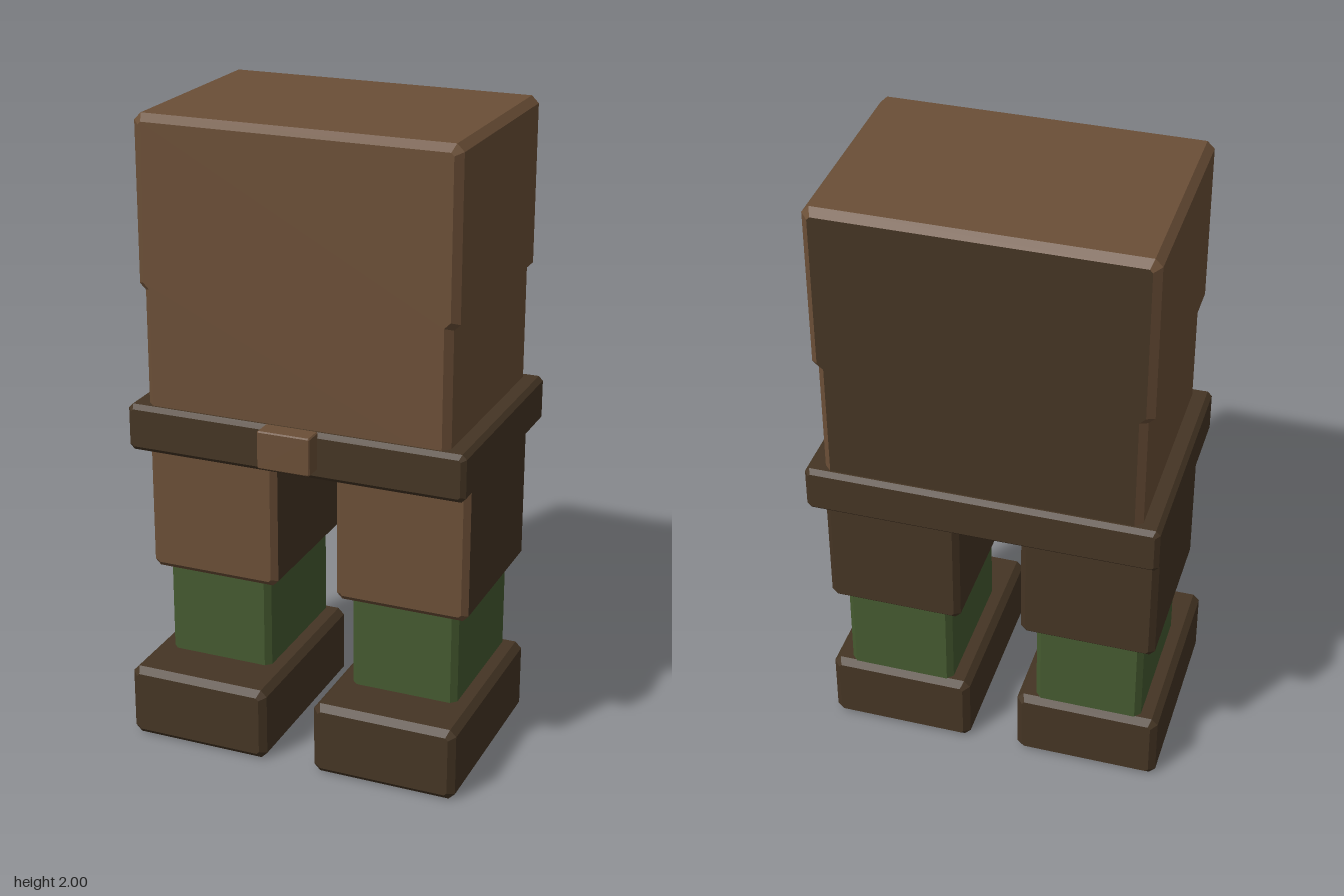
import * as THREE from 'three';

const flat = (name, color) => {
  const m = new THREE.MeshStandardMaterial({ color });
  m.name = name;
  return m;
};

export function createModel() {
  const brown = flat('brown leather', 0x6b4f37);
  const dark = flat('dark leather', 0x453524);
  const green = flat('green cloth', 0x455a30);
  const model = new THREE.Group();

  // Bevelled block from the right half of a symmetric outline, bottom to top.
  function block(half, z0, z1, b) {
    const left = half.map(([x, y]) => [-x, y]).reverse();
    const shape = new THREE.Shape([...half, ...left].map(([x, y]) => new THREE.Vector2(x, y)));
    const geo = new THREE.ExtrudeGeometry(shape, {
      depth: z1 - z0 - 2 * b, steps: 1, bevelEnabled: true, bevelSegments: 1,
      bevelThickness: b, bevelSize: b, bevelOffset: -b,
    });
    geo.translate(0, 0, z0 + b);
    geo.clearGroups();
    return geo;
  }

  // Box with all edges chamfered by b.
  const box = (w, y0, y1, z0, z1, b) => block(
    [[w - b, y0], [w, y0 + b], [w, y1 - b], [w - b, y1]], z0, z1, b);

  // Give each triangle material 0 or 1 by its normal.
  function paint(geo, isSecond) {
    const n = geo.attributes.normal;
    for (let i = 0; i < n.count; i += 3) geo.addGroup(i, 3, isSecond(n.getZ(i)) ? 1 : 0);
    return geo;
  }

  function add(name, geo, material, parent = model) {
    const mesh = new THREE.Mesh(geo, material);
    mesh.name = name;
    parent.add(mesh);
    return mesh;
  }

  // Torso: wider chest over a narrower waist, dark back panel
  const torso = block([
    [0.485, 1.05], [0.485, 1.467], [0.504, 1.486], [0.504, 1.978], [0.482, 2],
  ], -0.378, 0.32, 0.022);
  add('torso', paint(torso, (z) => z < -0.9), [brown, dark]);

  // Belt and buckle
  add('belt', box(0.542, 0.962, 1.11, -0.397, 0.34, 0.014), dark);
  add('beltBuckle', box(0.084, 0.995, 1.114, 0.33, 0.397, 0.004), brown);

  // Legs
  for (const [side, s] of [['left', 1], ['right', -1]]) {
    const leg = new THREE.Group();
    leg.name = side + 'Leg';
    leg.position.x = s * 0.311;
    const thigh = paint(box(0.213, 0.532, 0.98, -0.298, 0.242, 0.018), (z) => z > 0.5);
    add(side + 'Thigh', thigh, [dark, brown], leg);
    add(side + 'Shin', box(0.172, 0.2, 0.56, -0.26, 0.206, 0.018), green, leg);
    add(side + 'Boot', box(0.231, 0, 0.236, -0.278, 0.38, 0.02), dark, leg);
    model.add(leg);
  }
  return model;
}
